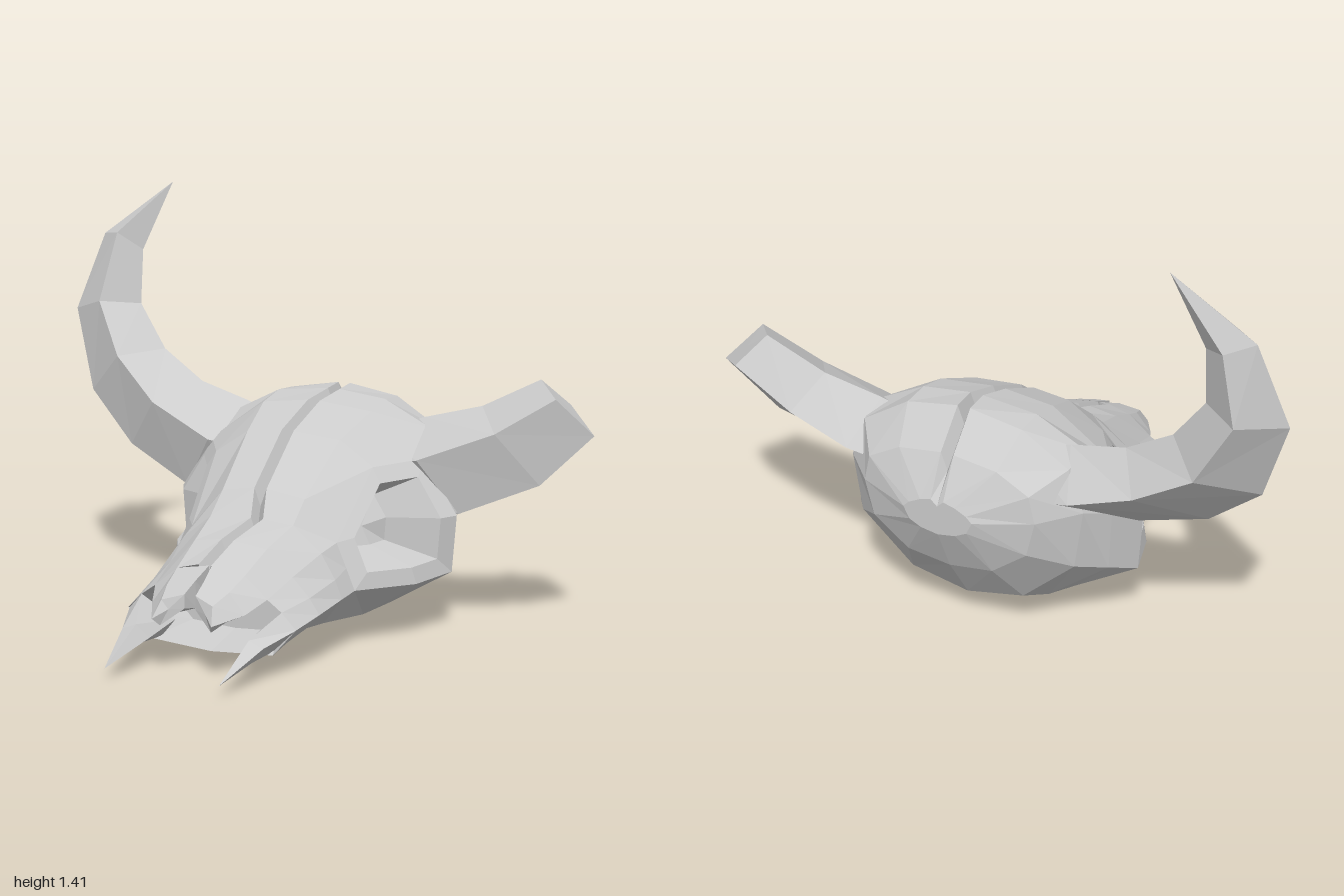
import * as THREE from 'three';

const material = new THREE.MeshStandardMaterial({ color: 0xcccccc, flatShading: true, side: THREE.DoubleSide });

// Faceted skin over a list of rings; rings run counterclockwise seen from the far end
function loft(name, rings, { capStart = false, capEnd = false, skip = () => false } = {}) {
  const pos = [];
  const tri = (a, b, c) => pos.push(...a, ...b, ...c);
  const n = rings[0].length;
  for (let r = 0; r < rings.length - 1; r++) {
    for (let i = 0; i < n; i++) {
      if (skip(r, i)) continue;
      const j = (i + 1) % n, A = rings[r], B = rings[r + 1];
      tri(A[i], A[j], B[j]);
      tri(A[i], B[j], B[i]);
    }
  }
  const cap = (ring, flip) => {
    const mid = [0, 1, 2].map(k => ring.reduce((s, p) => s + p[k], 0) / n);
    ring.forEach((p, i) => {
      const q = ring[(i + 1) % n];
      flip ? tri(mid, q, p) : tri(mid, p, q);
    });
  };
  if (capStart) cap(rings[0], true);
  if (capEnd) cap(rings[rings.length - 1], false);
  const geo = new THREE.BufferGeometry();
  geo.setAttribute('position', new THREE.Float32BufferAttribute(pos, 3));
  geo.computeVertexNormals();
  const mesh = new THREE.Mesh(geo, material);
  mesh.name = name;
  return mesh;
}

// Mirror rings across the middle, keeping the faces outward
const mirror = (rings, side) => side > 0 ? rings
  : rings.map(r => r.map(([x, y, z]) => [-x, y, z]).reverse());

// Skull sections: z, crack shift, top y, then half outline
// [crown, brow, temple, cheek ridge, jaw] as [x, y], and bottom y
const sections = [
  [-0.72, 0.00, 0.52, [[.06, .51], [.10, .49], [.12, .47], [.10, .43], [.06, .41]], 0.40],
  [-0.65, 0.00, 0.65, [[.17, .63], [.28, .57], [.30, .48], [.27, .36], [.15, .27]], 0.25],
  [-0.54, 0.00, 0.76, [[.20, .73], [.36, .63], [.41, .49], [.38, .29], [.20, .13]], 0.09],
  [-0.44, 0.01, 0.755, [[.20, .735], [.37, .65], [.46, .45], [.45, .25], [.24, .09]], 0.05],
  [-0.33, -0.01, 0.73, [[.20, .71], [.40, .57], [.515, .39], [.50, .20], [.28, .07]], 0.02],
  [-0.16, -0.02, 0.655, [[.17, .64], [.29, .56], [.42, .36], [.45, .19], [.26, .065]], 0.00],
  [0.05, -0.01, 0.50, [[.15, .48], [.265, .35], [.30, .27], [.33, .20], [.22, .08]], 0.035],
  [0.13, 0.02, 0.42, [[.15, .41], [.25, .33], [.30, .25], [.325, .19], [.20, .08]], 0.04],
  [0.27, -0.01, 0.375, [[.13, .36], [.22, .28], [.28, .22], [.315, .17], [.20, .065]], 0.035],
  [0.40, -0.02, 0.32, [[.12, .30], [.20, .235], [.25, .20], [.30, .15], [.22, .06]], 0.045],
];

function skullRing([z, shift, top, half, bottom]) {
  const depth = z < -0.7 ? 0.02 : 0.06;
  const right = [...half].reverse().map(([x, y]) => [x, y, z]);
  const left = half.map(([x, y]) => [-x, y, z]);
  return [[0, bottom, z], ...right,
    [shift + 0.022, top, z], [shift, top - depth, z], [shift - 0.022, top, z], ...left];
}

// Horn sections: [upper, front, lower, back] corners
const hornRoot = [
  [[.15, .62, -.46], [.22, .54, -.33], [.32, .38, -.38], [.22, .5, -.57]],
  [[.335, .68, -.475], [.39, .57, -.28], [.51, .39, -.35], [.39, .55, -.61]],
  [[.53, .73, -.495], [.64, .67, -.335], [.77, .50, -.41], [.60, .62, -.60]],
];
const hornTop = [
  [[.695, .83, -.52], [.82, .81, -.40], [.965, .67, -.47], [.80, .74, -.61]],
  [[.81, .98, -.55], [.935, .99, -.47], [1.065, .95, -.53], [.93, .96, -.63]],
  [[.815, 1.17, -.575], [.895, 1.23, -.53], [.975, 1.22, -.58], [.89, 1.19, -.63]],
  Array(4).fill([.72, 1.41, -.625]),
];
const hornStump = [[[.725, .83, -.52], [.825, .79, -.395], [.935, .67, -.46], [.80, .74, -.60]]];

export function createModel() {
  const skull = new THREE.Group();
  skull.name = 'hornedSkull';
  skull.position.x = 0.065;

  // Cranium and muzzle, open at the eyes, with a hollow nasal cavity
  const rings = sections.map(skullRing);
  const cavity = rings[rings.length - 1].map(([x, y]) => [x * 0.7, 0.15 + (y - 0.15) * 0.65, 0.24]);
  const eyeGap = (r, i) => (r === 4 || r === 5) && [2, 3, 10, 11].includes(i);
  skull.add(loft('cranium', [...rings, cavity], { capStart: true, capEnd: true, skip: eyeGap }));

  // Eye socket: the gap's border, a rim and a recessed bowl
  const [back, mid, front] = [rings[4], rings[5], rings[6]];
  const border = [back[4], mid[4], front[4], front[3], front[2], mid[2], back[2], back[3]];
  const centre = [0.40, 0.385, -0.13];
  const inset = (t, dx) => border.map(p => p.map((v, k) => centre[k] + (v - centre[k]) * t + (k === 0 ? dx : 0)));
  const socket = [border, inset(0.72, 0.0), inset(0.62, -0.04), inset(0.4, -0.13)];

  // Thin nasal bone ending in a point
  const nasal = [
    [[.01, .23, .40], [.12, .20, .40], [.20, .235, .40], [.12, .30, .40], [.005, .32, .40]],
    [[.01, .20, .47], [.10, .17, .48], [.165, .20, .48], [.11, .265, .48], [.015, .285, .47]],
    [[.02, .21, .53], [.09, .155, .56], [.105, .18, .585], [.09, .235, .55], [.02, .255, .53]],
  ];

  // Jaw spike beside the nose
  const spike = [
    [[.20, .06, .36], [.30, .15, .39], [.25, .20, .40], [.15, .12, .36]],
    [[.21, .065, .52], [.25, .115, .52], [.20, .135, .52], [.165, .09, .50]],
    Array(4).fill([.20, .04, .71]),
  ];

  for (const side of [1, -1]) {
    const label = side > 0 ? 'left' : 'right';
    const end = { capEnd: true };
    skull.add(loft(label + 'EyeSocket', mirror(socket, side), end));
    skull.add(loft(label + 'NasalBone', mirror(nasal, side), end));
    skull.add(loft(label + 'JawSpike', mirror(spike, side), { capStart: true }));
    // The left horn is broken off
    const horn = [...hornRoot, ...(side > 0 ? hornStump : hornTop)];
    skull.add(loft(label + 'Horn', mirror(horn, side), end));
  }

  const model = new THREE.Group();
  model.name = 'model';
  model.add(skull);
  return model;
}
